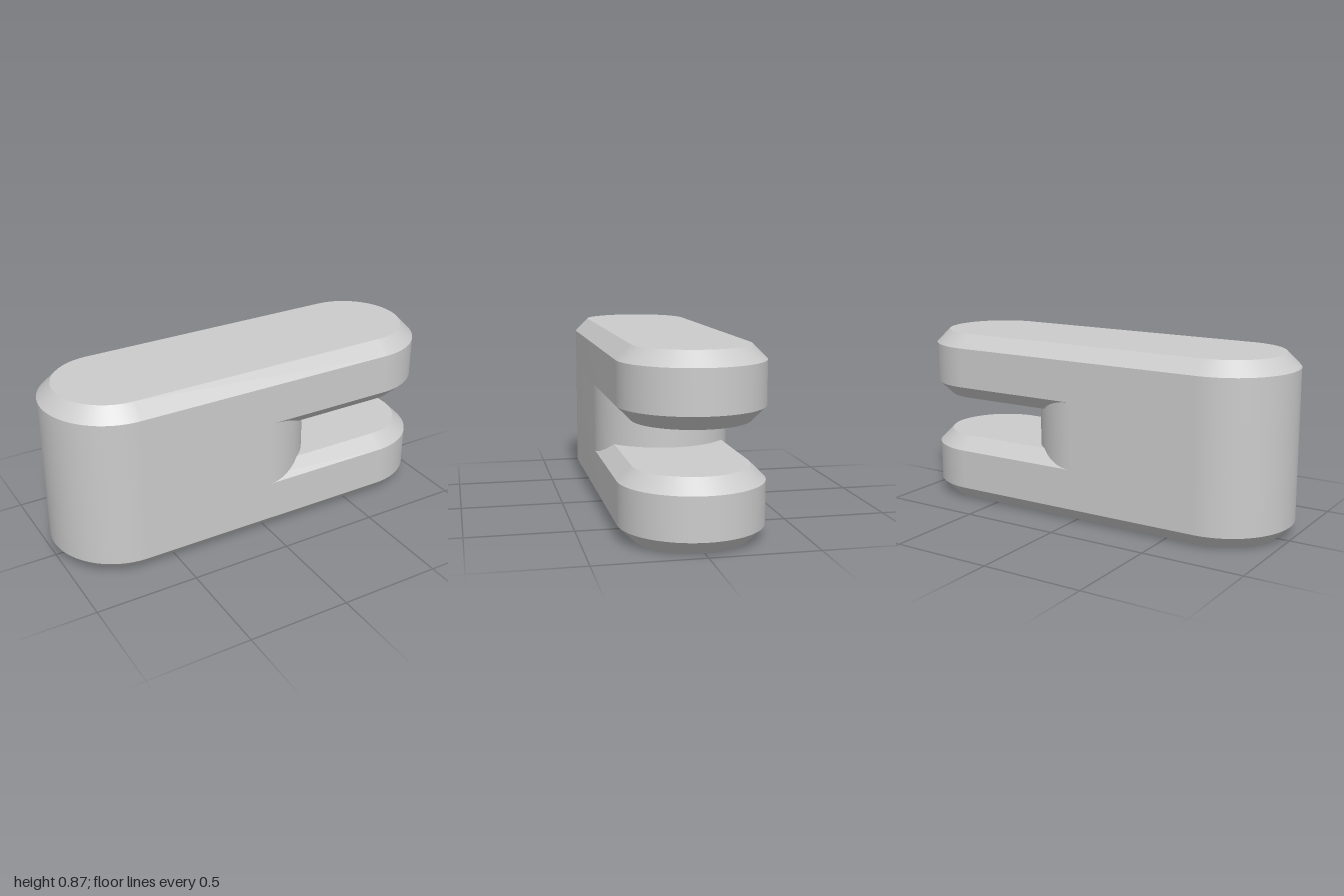
import * as THREE from 'three';
import { toCreasedNormals } from 'three/addons/utils/BufferGeometryUtils.js';

const R = 1 / 3;        // radius of the rounded ends
const CHAMFER = 1 / 15; // 45 degree edge chamfer
const PLATE = 1 / 3;    // plate thickness
const HEIGHT = 13 / 15;

// Outline with two semicircular ends centred on x0 and x1
function slotShape(x0, x1) {
  const s = new THREE.Shape();
  s.absarc(x1, 0, R, -Math.PI / 2, Math.PI / 2, false);
  s.absarc(x0, 0, R, Math.PI / 2, Math.PI * 1.5, false);
  return s;
}

// Upright rounded slab from y0 to y1, optionally chamfered at both rims
function slab(name, x0, x1, y0, y1, chamfer, material) {
  const geo = new THREE.ExtrudeGeometry(slotShape(x0, x1), {
    depth: y1 - y0 - 2 * chamfer,
    curveSegments: 40,
    bevelEnabled: chamfer > 0,
    bevelThickness: chamfer,
    bevelSize: chamfer,
    bevelOffset: -chamfer,
    bevelSegments: 1,
  });
  geo.rotateX(-Math.PI / 2).translate(0, y0 + chamfer, 0);
  const mesh = new THREE.Mesh(toCreasedNormals(geo, 0.4), material);
  mesh.name = name;
  return mesh;
}

export function createModel() {
  const material = new THREE.MeshStandardMaterial({ color: 0xcccccc });
  const group = new THREE.Group();
  group.name = 'forkedLink';

  // Two chamfered fork plates
  group.add(slab('lowerPlate', -2 / 3, 2 / 3, 0, PLATE, CHAMFER, material));
  group.add(slab('upperPlate', -2 / 3, 2 / 3, HEIGHT - PLATE, HEIGHT, CHAMFER, material));

  // Solid web, flush with the plate walls and rounded at the slot
  const inset = PLATE - CHAMFER;
  group.add(slab('centreWeb', -2 / 3, 0, inset, HEIGHT - inset, 0, material));

  return group;
}
